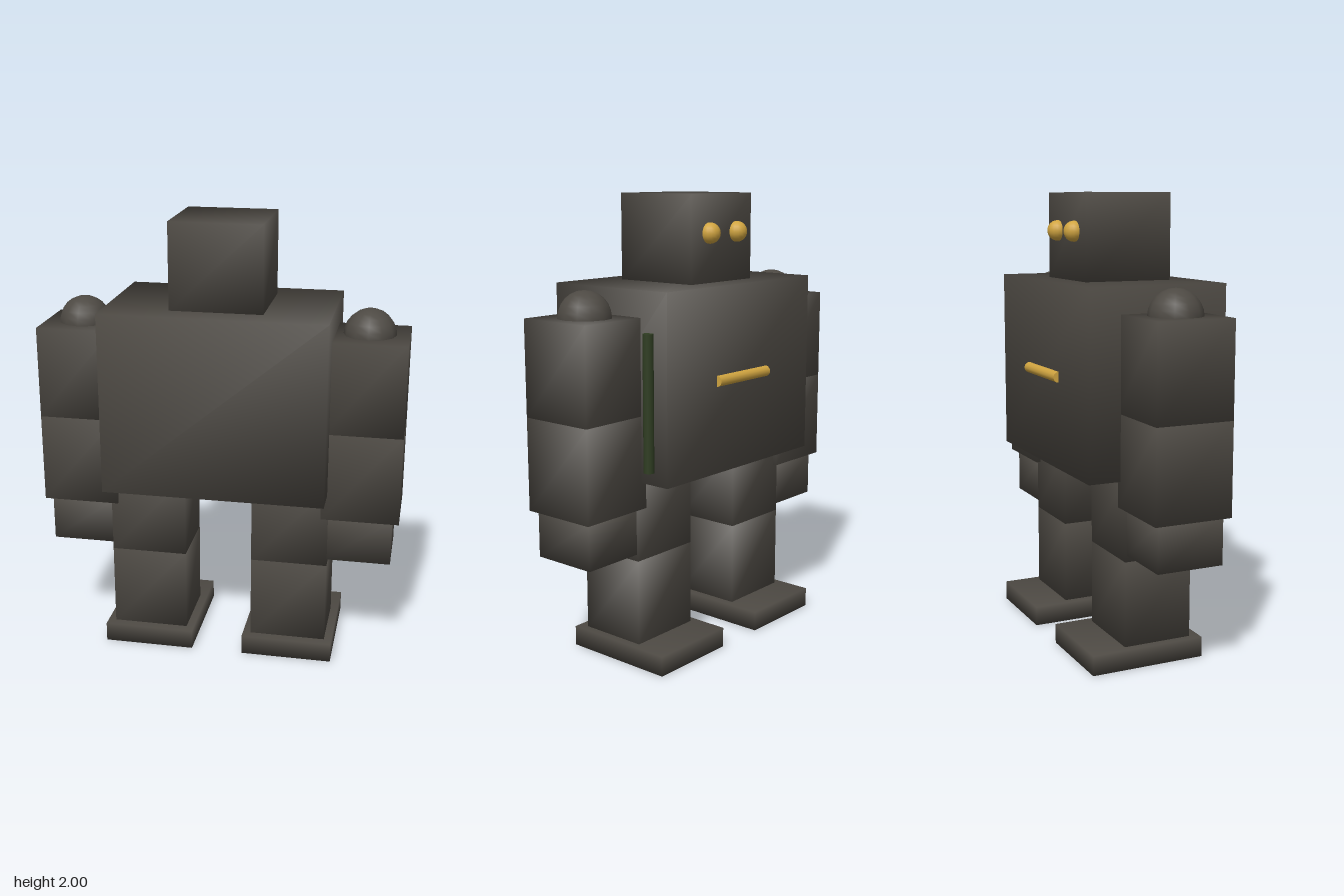
import * as THREE from 'three';
import { mergeVertices } from 'three/addons/utils/BufferGeometryUtils.js';

export function createModel() {
  const robot = new THREE.Group();
  robot.name = 'robot';

  const material = (name, color) => {
    const m = new THREE.MeshStandardMaterial({ color });
    m.name = name;
    return m;
  };
  const iron = material('dark iron', 0x4d4943);
  const gold = material('gold', 0xd0a440);
  const green = material('dark green', 0x2f3d22);

  // Share corner vertices so that shading runs softly across the edges
  function soften(geometry) {
    geometry.deleteAttribute('normal');
    geometry.deleteAttribute('uv');
    const merged = mergeVertices(geometry);
    merged.computeVertexNormals();
    return merged;
  }

  function add(parent, name, geometry, mat, x, y, z) {
    const mesh = new THREE.Mesh(geometry, mat);
    mesh.name = name;
    mesh.position.set(x, y, z);
    parent.add(mesh);
    return mesh;
  }

  // Box given by its lower and upper limits on each axis
  function block(parent, name, [x0, x1], [y0, y1], [z0, z1]) {
    const geometry = soften(new THREE.BoxGeometry(x1 - x0, y1 - y0, z1 - z0));
    return add(parent, name, geometry, iron, (x0 + x1) / 2, (y0 + y1) / 2, (z0 + z1) / 2);
  }

  // Head and torso; the face looks towards -z
  block(robot, 'head', [-0.203, 0.203], [1.62, 2], [-0.19, 0.213]);
  block(robot, 'torso', [-0.492, 0.492], [0.815, 1.623], [-0.306, 0.328]);

  for (const side of [-1, 1]) {
    const label = side > 0 ? 'left' : 'right';
    const span = (a, b) => (side > 0 ? [a, b] : [-b, -a]);

    // Arm
    const arm = new THREE.Group();
    arm.name = label + 'Arm';
    robot.add(arm);
    add(arm, 'shoulder', new THREE.SphereGeometry(0.115, 12, 12), iron, side * 0.638, 1.508, 0.01);
    block(arm, 'upperArm', span(0.465, 0.81), [1.1, 1.51], [-0.162, 0.185]);
    block(arm, 'forearm', span(0.465, 0.81), [0.7, 1.1], [-0.162, 0.185]);
    block(arm, 'hand', span(0.49, 0.78), [0.495, 0.7], [-0.135, 0.163]);

    // Leg
    const leg = new THREE.Group();
    leg.name = label + 'Leg';
    robot.add(leg);
    block(leg, 'thigh', span(0.153, 0.497), [0.465, 0.83], [-0.142, 0.17]);
    block(leg, 'shin', span(0.153, 0.497), [0.085, 0.465], [-0.142, 0.17]);
    block(leg, 'foot', span(0.118, 0.532), [0, 0.088], [-0.306, 0.214]);

    // Eye
    add(robot, label + 'Eye', new THREE.SphereGeometry(0.045, 16, 12), gold, side * 0.092 - 0.004, 1.835, -0.197);
  }

  // Chest bar on the back and side rod
  const bar = add(robot, 'chestBar', new THREE.CylinderGeometry(0.024, 0.024, 0.346, 12), gold, -0.002, 1.22, -0.306);
  bar.rotation.z = Math.PI / 2;
  add(robot, 'sideRod', new THREE.CylinderGeometry(0.023, 0.023, 0.58, 12), green, 0.508, 1.162, -0.218);

  return robot;
}
